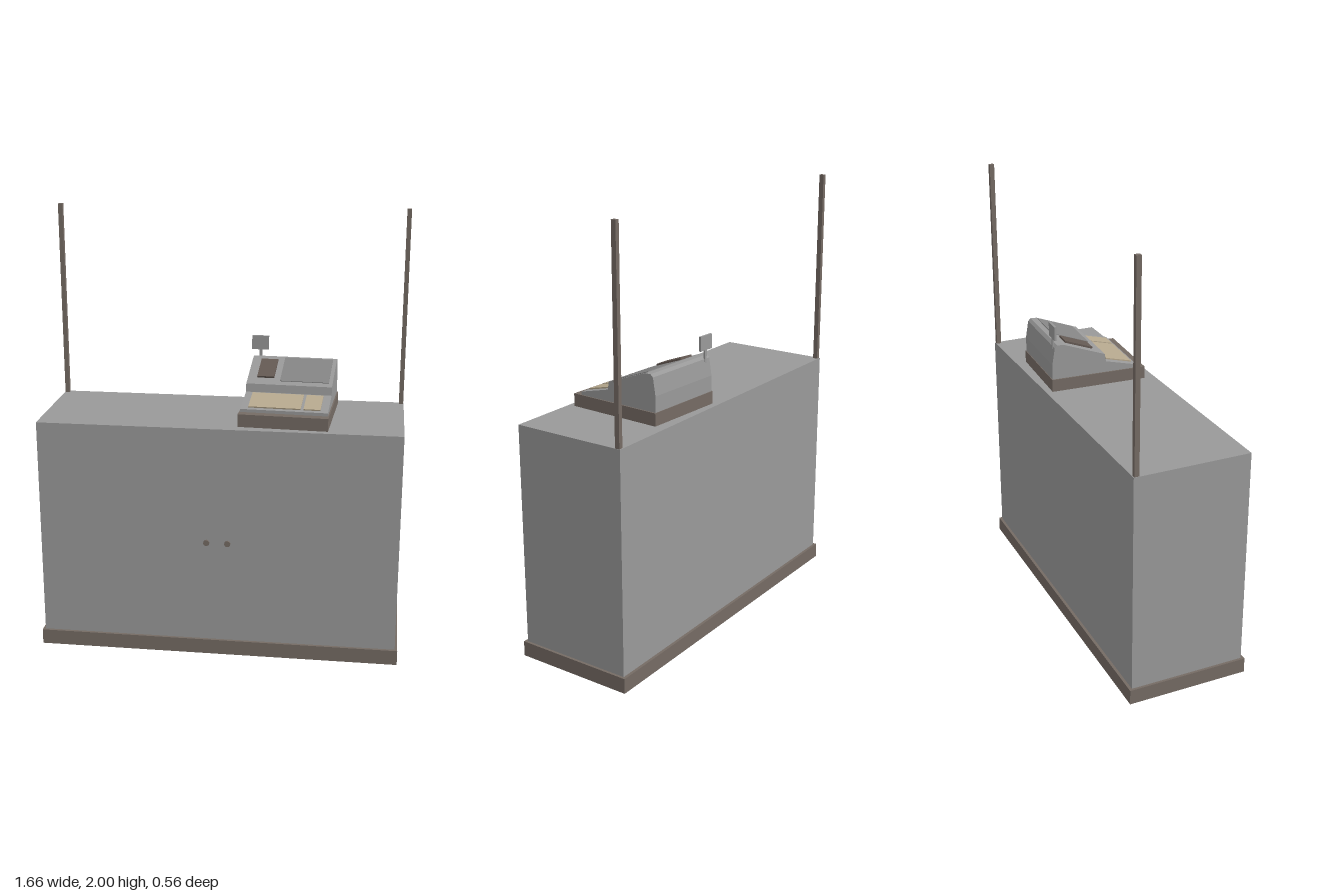
import * as THREE from 'three';

const mat = (name, color, side = THREE.FrontSide) => {
  const m = new THREE.MeshStandardMaterial({ color, side });
  m.name = name;
  return m;
};

export function createModel() {
  const grey = mat('counter grey', 0x999999, THREE.DoubleSide);
  const brown = mat('dark brown', 0x756b64, THREE.DoubleSide);
  const panelGrey = mat('panel grey', 0x858585);
  const tan = mat('key tan', 0xb6a88e);
  const screenBrown = mat('screen brown', 0x645953);

  const model = new THREE.Group();
  model.name = 'checkoutCounter';

  const add = (parent, name, geometry, material, x = 0, y = 0, z = 0) => {
    const mesh = new THREE.Mesh(geometry, material);
    mesh.name = name;
    mesh.position.set(x, y, z);
    parent.add(mesh);
    return mesh;
  };
  const box = (w, h, d) => new THREE.BoxGeometry(w, h, d);

  // Hollow box keeping only the listed sides (0 +x, 1 -x, 2 +y, 3 -y, 4 +z, 5 -z)
  const shell = (w, h, d, sides) => {
    const g = box(w, h, d);
    const index = Array.from(g.index.array);
    g.setIndex(sides.flatMap((s) => index.slice(s * 6, s * 6 + 6)));
    g.clearGroups();
    return g;
  };

  // Cabinet, open underneath, on a thin skirting with a narrow ledge
  add(model, 'cabinet', shell(1.636, 1.02, 0.538, [0, 1, 2, 4, 5]), grey, 0, 0.58, 0);
  add(model, 'skirting', shell(1.66, 0.07, 0.564, [0, 1, 4, 5]), brown, 0, 0.035, 0);
  const rect = (target, w, d) => {
    target.moveTo(-w, -d).lineTo(w, -d).lineTo(w, d).lineTo(-w, d).closePath();
    return target;
  };
  const ledge = rect(new THREE.Shape(), 0.83, 0.282);
  ledge.holes.push(rect(new THREE.Path(), 0.817, 0.268));
  add(model, 'skirtingLedge', new THREE.ShapeGeometry(ledge).rotateX(-Math.PI / 2), brown, 0, 0.07, 0);

  // Rear posts and door knobs
  for (const side of [-1, 1]) {
    add(model, 'post', box(0.02, 0.91, 0.022), brown, side * 0.806, 1.545, -0.254);
    const knob = new THREE.CylinderGeometry(0.014, 0.014, 0.01, 12).rotateX(Math.PI / 2);
    add(model, 'doorKnob', knob, brown, side * 0.048, 0.551, 0.273);
  }

  // Cash register, turned slightly on the counter
  const register = new THREE.Group();
  register.name = 'cashRegister';
  register.position.set(0.298, 0, 0);
  register.rotation.y = -0.052;
  model.add(register);

  add(register, 'cashDrawer', box(0.402, 0.058, 0.458), brown, 0, 1.119, 0);

  // Body side profile as (z, y)
  const profile = [
    [0.19, 1.146], [0.19, 1.162], [0.037, 1.2], [0.031, 1.237],
    [-0.17, 1.311], [-0.2, 1.312], [-0.213, 1.3], [-0.226, 1.22], [-0.226, 1.146],
  ].map(([z, y]) => new THREE.Vector2(z, y));
  const bodyWidth = 0.39;
  const body = new THREE.ExtrudeGeometry(new THREE.Shape(profile), { depth: bodyWidth, bevelEnabled: false });
  body.rotateY(-Math.PI / 2).translate(bodyWidth / 2, 0, 0);
  add(register, 'registerBody', body, grey);

  // Lays a plate on the slope between two profile points
  const plate = (name, front, back, x0, x1, z0, z1, thickness, material) => {
    const a = profile[front], b = profile[back];
    const angle = Math.atan2(b.y - a.y, a.x - b.x);
    const z = (z0 + z1) / 2;
    const y = a.y + (a.x - z) * Math.tan(angle);
    const mesh = add(register, name, box(x1 - x0, thickness, (z1 - z0) / Math.cos(angle)),
      material, (x0 + x1) / 2, y + thickness / 2, z);
    mesh.rotation.x = angle;
  };
  plate('keypad', 1, 2, -0.162, 0.072, 0.05, 0.175, 0.006, tan);
  plate('sideKeypad', 1, 2, 0.085, 0.16, 0.05, 0.175, 0.006, tan);
  plate('smallScreen', 3, 4, -0.152, -0.074, -0.148, -0.015, 0.009, screenBrown);
  plate('largePanel', 3, 4, -0.045, 0.178, -0.172, 0.004, 0.003, panelGrey);

  // Customer display on a short pole
  add(register, 'displayPole', box(0.013, 0.16, 0.008), grey, -0.166, 1.27, -0.212);
  add(register, 'customerDisplay', box(0.079, 0.066, 0.01), grey, -0.168, 1.373, -0.212);

  return model;
}
